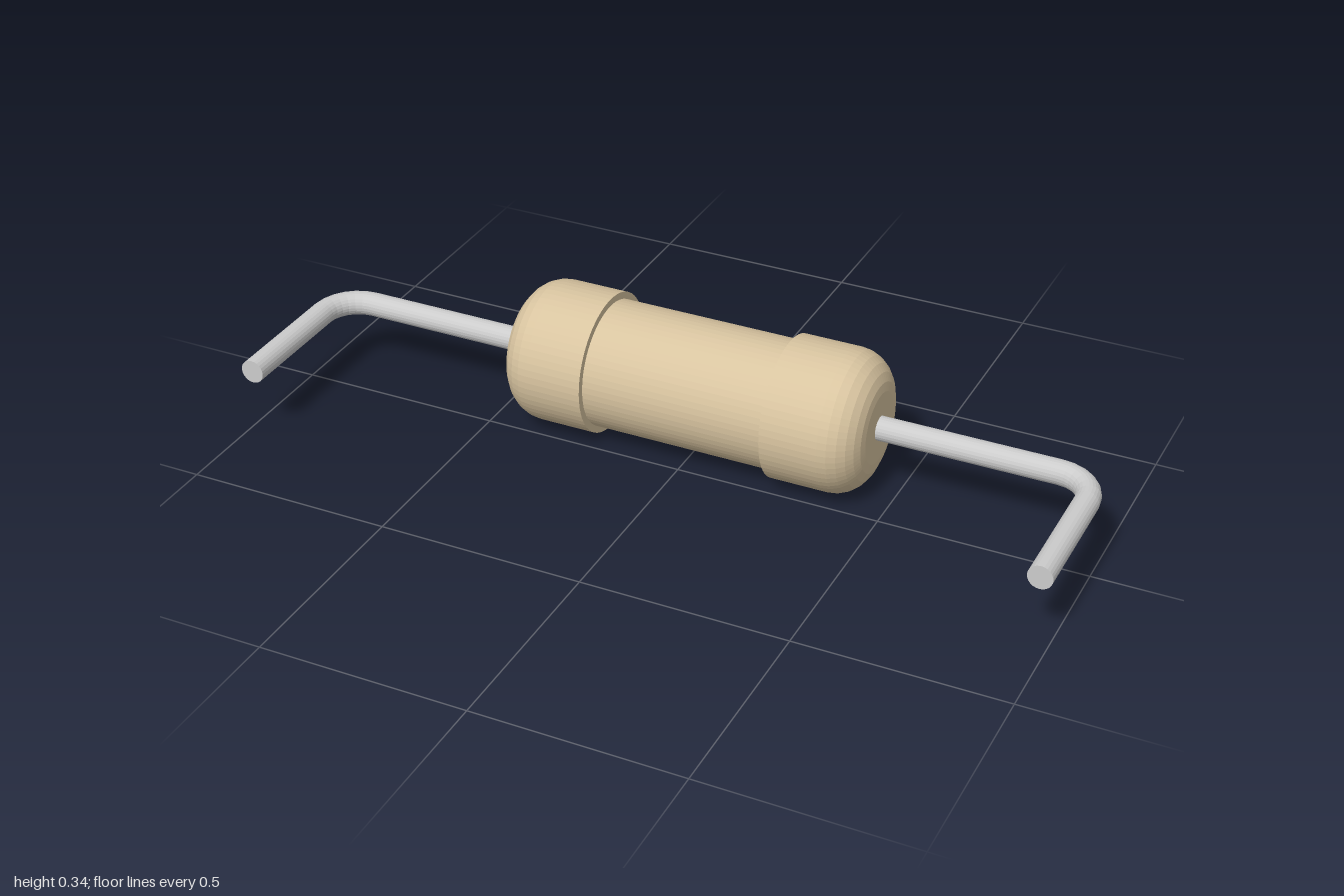
import * as THREE from 'three';

const AXIS_Y = 0.172, AXIS_Z = -0.115;
const WIRE_R = 0.029, BEND_R = 0.09, WIRE_X = 0.97, WIRE_END_Z = 0.287;

// Half of the body outline, from the middle to the end: [radius, distance along axis]
function halfProfile() {
  const capR = 0.171, coreR = 0.154, end = 0.452, step = 0.227, fillet = 0.085;
  const pts = [[coreR, step], [capR, step]];
  for (let i = 0; i <= 6; i++) {
    const a = (i / 6) * Math.PI / 2;
    pts.push([capR - fillet + fillet * Math.cos(a), end - fillet + fillet * Math.sin(a)]);
  }
  pts.push([0, end]);
  return pts;
}

export function createModel() {
  const group = new THREE.Group();
  const tan = new THREE.MeshStandardMaterial({ color: 0xd8c4a0, flatShading: true });
  const grey = new THREE.MeshStandardMaterial({ color: 0xcccccc, flatShading: true });

  const add = (parent, name, geometry, material, x, y, z) => {
    const mesh = new THREE.Mesh(geometry, material);
    mesh.name = name;
    mesh.position.set(x, y, z);
    parent.add(mesh);
  };

  // Body: slim core with two wider rounded end caps
  const half = halfProfile();
  const profile = [...half.map(([r, h]) => [r, -h]).reverse(), ...half]
    .map(([r, h]) => new THREE.Vector2(r, h));
  const body = new THREE.LatheGeometry(profile, 64).rotateZ(-Math.PI / 2);
  add(group, 'body', body, tan, 0, AXIS_Y, AXIS_Z);

  // Wire leads: straight run, quarter bend, straight tip
  for (const side of [1, -1]) {
    const lead = new THREE.Group();
    lead.name = side > 0 ? 'leftLead' : 'rightLead';
    const bendX = WIRE_X - BEND_R, bendZ = AXIS_Z + BEND_R, start = 0.43;

    const run = new THREE.CylinderGeometry(WIRE_R, WIRE_R, bendX - start, 24).rotateZ(Math.PI / 2);
    add(lead, 'leadRun', run, grey, side * (start + bendX) / 2, AXIS_Y, AXIS_Z);

    const bend = new THREE.TorusGeometry(BEND_R, WIRE_R, 24, 6, Math.PI / 2);
    if (side < 0) bend.rotateZ(Math.PI / 2);
    bend.rotateX(-Math.PI / 2);
    add(lead, 'leadBend', bend, grey, side * bendX, AXIS_Y, bendZ);

    const tip = new THREE.CylinderGeometry(WIRE_R, WIRE_R, WIRE_END_Z - bendZ, 24).rotateX(Math.PI / 2);
    add(lead, 'leadTip', tip, grey, side * WIRE_X, AXIS_Y, (WIRE_END_Z + bendZ) / 2);
    group.add(lead);
  }
  return group;
}
